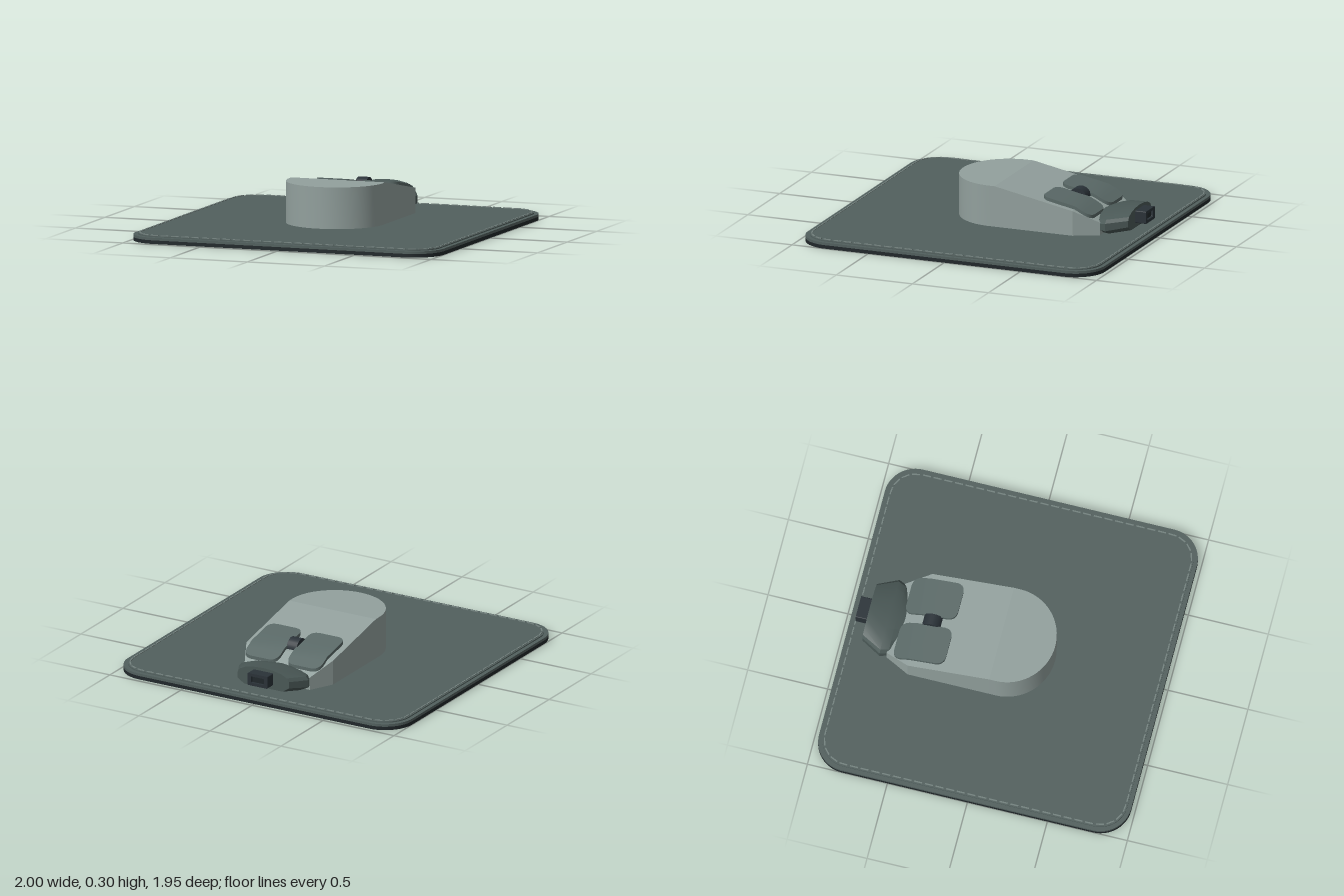
import * as THREE from 'three';
import { toCreasedNormals } from 'three/addons/utils/BufferGeometryUtils.js';

const mat = (name, color) => new THREE.MeshStandardMaterial({ name, color });

// Closed skin through cross-sections ordered from +z to -z; each is { z, ring: [[x, y], ...] }, counterclockwise
function loft(sections, crease = 0.5) {
  const n = sections[0].ring.length, pos = [], idx = [];
  for (const { z, ring } of sections) for (const [x, y] of ring) pos.push(x, y, z);
  const last = (sections.length - 1) * n;
  for (let i = 0; i < last; i += n) for (let j = 0; j < n; j++) {
    const a = i + j, b = i + (j + 1) % n;
    idx.push(a, a + n, b, b, a + n, b + n);
  }
  for (let j = 1; j < n - 1; j++) idx.push(0, j, j + 1, last, last + j + 1, last + j);
  const g = new THREE.BufferGeometry();
  g.setAttribute('position', new THREE.Float32BufferAttribute(pos, 3));
  g.setIndex(idx);
  return toCreasedNormals(g, crease);
}

const rect = (x0, x1, y0, y1) => [[x0, y0], [x1, y0], [x1, y1], [x0, y1]];

function roundedRect(hx, hy, r) {
  const s = new THREE.Shape();
  s.absarc(hx - r, hy - r, r, 0, Math.PI / 2);
  s.absarc(r - hx, hy - r, r, Math.PI / 2, Math.PI);
  s.absarc(r - hx, r - hy, r, Math.PI, Math.PI * 1.5);
  s.absarc(hx - r, r - hy, r, Math.PI * 1.5, Math.PI * 2);
  s.closePath();
  return s;
}

// Height of the mouse's upper surface along z
function topY(z) {
  if (z > -0.04) return 0.3;
  if (z > -0.55) return 0.3 + (z + 0.04) * 0.196;
  return 0.2 + (z + 0.55) * 0.5;
}

export function createModel() {
  const model = new THREE.Group();
  model.name = 'mouseOnPad';
  const rubber = mat('rubberBlack', 0x20272a);
  const cloth = mat('clothGreen', 0x52605e);
  const thread = mat('threadGrey', 0x74827f);
  const shell = mat('shellGrey', 0x92a09d);
  const key = mat('buttonGrey', 0x5a6967);
  const boot = mat('bootGrey', 0x4a5856);
  const dark = mat('plugDark', 0x2a3238);
  const add = (name, geometry, material, parent = model) => {
    const m = new THREE.Mesh(geometry, material);
    m.name = name;
    parent.add(m);
    return m;
  };

  // Pad: rubber base, cloth edge and raised cloth top
  const slab = (name, hx, hz, r, y0, y1, material) => {
    const g = new THREE.ExtrudeGeometry(roundedRect(hx, hz, r),
      { depth: y1 - y0, bevelEnabled: false, curveSegments: 10 });
    g.rotateX(-Math.PI / 2).translate(0, y0, 0);
    add(name, toCreasedNormals(g, 0.5), material);
  };
  slab('padBase', 1, 0.975, 0.19, 0, 0.022, rubber);
  slab('padEdge', 1, 0.975, 0.19, 0.022, 0.038, cloth);
  slab('padTop', 0.975, 0.95, 0.17, 0.038, 0.045, cloth);

  // Stitching around the pad
  const stitches = new THREE.Group();
  stitches.name = 'stitching';
  model.add(stitches);
  const seam = roundedRect(0.963, 0.94, 0.155);
  const count = 110;
  const pts = seam.getSpacedPoints(count);
  const dash = new THREE.BoxGeometry(0.05, 0.008, 0.008);
  for (let i = 0; i < count; i++) {
    const a = pts[i], b = pts[(i + 1) % count];
    const m = add('stitch', dash, thread, stitches);
    m.position.set((a.x + b.x) / 2, 0.046, -(a.y + b.y) / 2);
    m.rotation.y = Math.atan2(b.y - a.y, b.x - a.x);
  }

  // Mouse body: round heel, straight sides, tapered nose
  const body = [];
  for (let i = 0; i <= 16; i++) {
    const a = (i / 16) * Math.PI / 2;
    body.push([0.295 * Math.cos(a), Math.max(0.305 * Math.sin(a), 0.004)]);
  }
  body.push([-0.04, 0.305], [-0.55, 0.305], [-0.7, 0.23]);
  add('mouseBody', loft(body.map(([z, w]) => ({ z, ring: rect(-w, w, 0.04, topY(z)) })), 0.18), shell);

  // Two buttons, bent to follow the top
  for (const side of [-1, 1]) {
    const rows = [], z0 = -0.333, z1 = -0.657, r = 0.05;
    const steps = [0, 0.1, 0.3, 0.6, 1].map(t => r * t);
    const zs = [...steps.map(d => z0 - d), -0.45, -0.55, ...steps.map(d => z1 + d).reverse()];
    for (const z of zs) {
      const d = Math.min(z0 - z, z - z1, r);
      const inset = r - Math.sqrt(Math.max(0, r * r - (r - d) ** 2));
      const w = 0.118 - inset, cx = side * 0.149;
      rows.push({ z, ring: rect(cx - w, cx + w, topY(z) - 0.004, topY(z) + 0.021) });
    }
    add(side > 0 ? 'leftButton' : 'rightButton', loft(rows), key);
  }

  // Scroll wheel
  const wheel = add('scrollWheel', new THREE.CylinderGeometry(0.06, 0.06, 0.07, 24), dark);
  wheel.rotation.z = Math.PI / 2;
  wheel.position.set(0, 0.203, -0.47);

  // Domed cable boot: [z, half width, bottom, shoulder, crown]
  const bootSections = [
    [-0.63, 0.16, 0.06, 0.08, 0.15],
    [-0.69, 0.225, 0.048, 0.115, 0.172],
    [-0.74, 0.245, 0.048, 0.125, 0.18],
    [-0.865, 0.18, 0.07, 0.14, 0.197],
  ].map(([z, w, low, mid, high]) => {
    const ring = [[-w * 0.75, low], [w * 0.75, low], [w, low + 0.03]];
    for (let i = 0; i <= 8; i++) {
      const a = (i / 8) * Math.PI;
      ring.push([w * Math.cos(a), mid + (high - mid) * Math.sin(a)]);
    }
    ring.push([-w, low + 0.03]);
    return { z, ring };
  });
  add('cableBoot', loft(bootSections, 0.35), boot);

  // Plug: hollow frame with an inner core
  const frame = roundedRect(0.07, 0.039, 0.006);
  frame.holes.push(new THREE.Path(roundedRect(0.045, 0.02, 0.004).getPoints(3).reverse()));
  const plug = new THREE.Group();
  plug.name = 'plug';
  plug.position.set(0, 0.137, -0.935);
  model.add(plug);
  add('plugFrame', new THREE.ExtrudeGeometry(frame,
    { depth: 0.08, bevelEnabled: false, curveSegments: 3 }), dark, plug);
  const core = add('plugCore', new THREE.BoxGeometry(0.09, 0.04, 0.06), rubber, plug);
  core.position.z = 0.045;
  return model;
}
